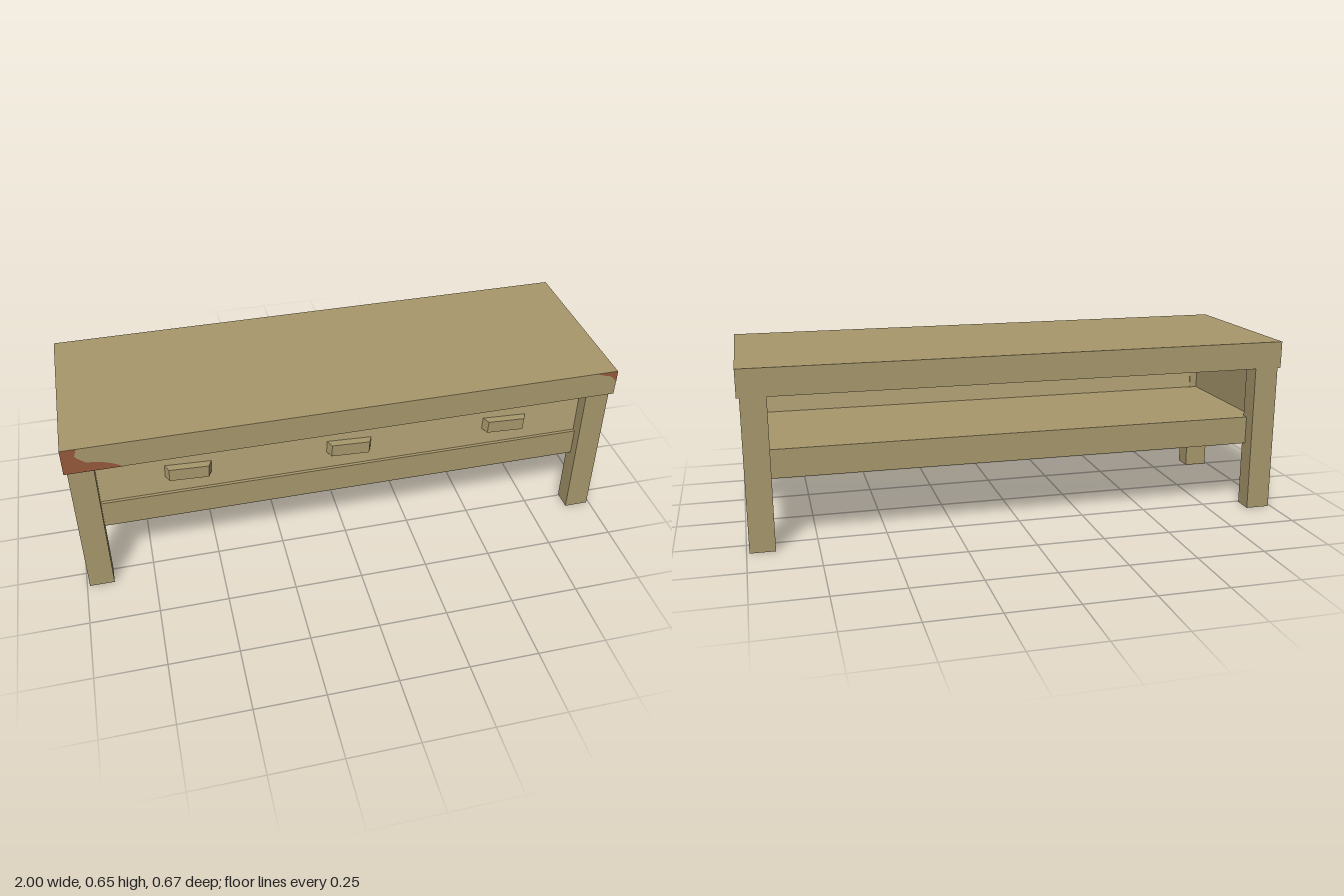
import * as THREE from 'three';

export function createModel() {
  const model = new THREE.Group();
  const mat = (color) => new THREE.MeshStandardMaterial({ color });
  const wood = mat(0xa8986c);
  const paleWood = mat(0xb6a577);
  const stain = mat(0x96593b);

  // Box given by its limits on each axis
  function slab(name, [x0, x1], [y0, y1], [z0, z1], material = wood) {
    const mesh = new THREE.Mesh(new THREE.BoxGeometry(x1 - x0, y1 - y0, z1 - z0), material);
    mesh.position.set((x0 + x1) / 2, (y0 + y1) / 2, (z0 + z1) / 2);
    mesh.name = name;
    model.add(mesh);
    return mesh;
  }

  // Top board and lower shelf
  slab('tableTop', [-1, 1], [0.555, 0.655], [-0.335, 0.335]);
  slab('shelf', [-0.962, 0.962], [0.25, 0.355], [-0.282, 0.28]);

  // Legs and end panels, mirrored left and right
  for (const [side, s] of [['left', 1], ['right', -1]]) {
    const span = (a, b) => (s > 0 ? [a, b] : [-b, -a]);
    slab(side + 'FrontLeg', span(0.9, 0.99), [0, 0.555], [0.245, 0.318]);
    slab(side + 'BackLeg', span(0.9, 0.99), [0, 0.555], [-0.331, -0.258]);
    slab(side + 'EndPanel', span(0.93, 0.95), [0.355, 0.555], [-0.27, 0.268]);
  }

  // Drawer front; the back stays open
  slab('drawerFront', [-0.93, 0.93], [0.355, 0.555], [0.248, 0.268], paleWood);

  // Slightly tilted handles with bevelled ends
  const plan = new THREE.Shape([
    new THREE.Vector2(-0.083, 0), new THREE.Vector2(0.083, 0),
    new THREE.Vector2(0.07, -0.03), new THREE.Vector2(-0.07, -0.03),
  ]);
  const handleGeometry = new THREE.ExtrudeGeometry(plan, { depth: 0.048, bevelEnabled: false });
  handleGeometry.translate(0, 0, -0.024);
  handleGeometry.rotateX(-Math.PI / 2);
  for (const x of [-0.582, 0.005, 0.602]) {
    const handle = new THREE.Mesh(handleGeometry, wood);
    handle.name = 'handle';
    handle.position.set(x, 0.447, 0.267);
    handle.rotation.z = -0.05;
    model.add(handle);
  }

  // Worn patches on the front edge of the top
  function patch(name, points) {
    const shape = new THREE.Shape(points.map(([x, y]) => new THREE.Vector2(x, y)));
    const mesh = new THREE.Mesh(new THREE.ShapeGeometry(shape), stain);
    mesh.position.z = 0.336;
    mesh.name = name;
    model.add(mesh);
  }
  patch('rightWornPatch', [
    [-1, 0.555], [-0.8, 0.555], [-0.83, 0.573], [-0.87, 0.588], [-0.92, 0.595],
    [-0.94, 0.61], [-0.955, 0.625], [-0.945, 0.655], [-1, 0.655],
  ]);
  patch('leftWornPatch', [
    [1, 0.61], [1, 0.655], [0.92, 0.655], [0.945, 0.645], [0.975, 0.637],
  ]);

  return model;
}
